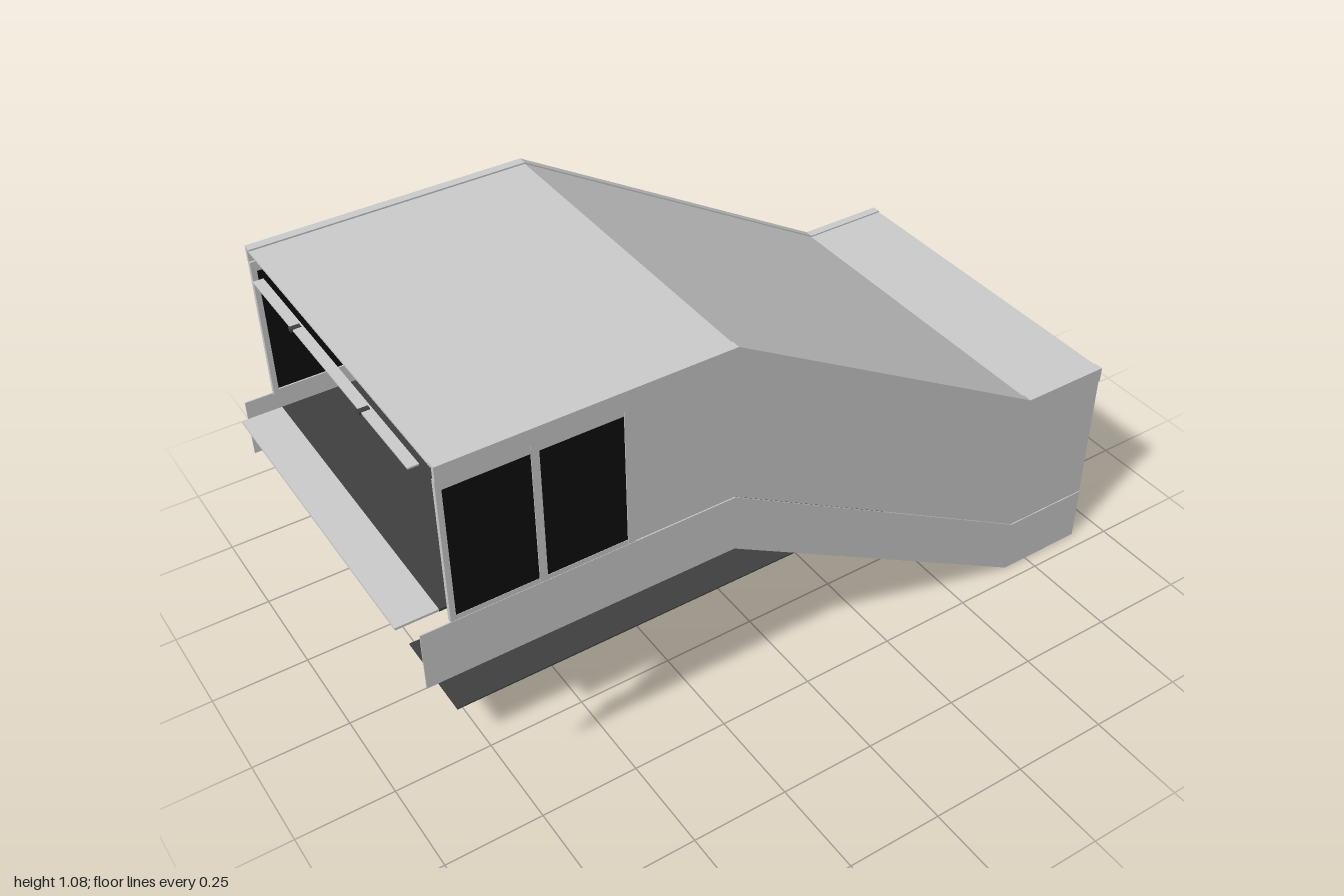
import * as THREE from 'three';

const mat = (name, color, side = THREE.FrontSide) => {
  const m = new THREE.MeshStandardMaterial({ color, side });
  m.name = name;
  return m;
};

export function createModel() {
  const root = new THREE.Group();
  root.name = 'escalatorEntrance';
  const light = mat('lightGrey', 0xcccccc);
  const dark = mat('darkGrey', 0x404040);
  const black = mat('black', 0x0e0e0e);
  const yellow = mat('yellow', 0x8c8420);

  // Shared slope: flat, falling, flat
  const TOP_X = -0.2, LOW_X = 0.68, RISE = 0.515;
  const level = (x, base) =>
    base + RISE * THREE.MathUtils.clamp((LOW_X - x) / (LOW_X - TOP_X), 0, 1);

  const add = (parent, name, geo, material) => {
    const m = new THREE.Mesh(geo, material);
    m.name = name;
    parent.add(m);
    return m;
  };
  const box = (parent, name, material, x0, x1, y0, y1, z0, z1) => {
    const m = add(parent, name, new THREE.BoxGeometry(x1 - x0, y1 - y0, z1 - z0), material);
    m.position.set((x0 + x1) / 2, (y0 + y1) / 2, (z0 + z1) / 2);
    return m;
  };
  // Strip that follows the slope from x0 to x1
  const band = (parent, name, material, x0, x1, base, height, z0, z1) => {
    const xs = [x0, ...[TOP_X, LOW_X].filter((x) => x > x0 && x < x1), x1];
    const pts = xs.map((x) => new THREE.Vector2(x, level(x, base)));
    const upper = xs.map((x) => new THREE.Vector2(x, level(x, base) + height)).reverse();
    const geo = new THREE.ExtrudeGeometry(new THREE.Shape([...pts, ...upper]), {
      depth: z1 - z0, bevelEnabled: false,
    });
    geo.translate(0, 0, z0);
    return add(parent, name, geo, material);
  };
  // z range on either side of the building
  const sided = (s, a, b) => (s > 0 ? [a, b] : [-b, -a]);

  // Roof sheet between the side trims
  band(root, 'roof', light, -0.9, 0.92, 0.556, 0.005, -0.45, 0.45);
  // Inner sloping ceiling
  band(root, 'innerCeiling', light, TOP_X, 0.7, 0.43, 0.005, -0.405, 0.405);

  for (const s of [1, -1]) {
    const side = new THREE.Group();
    side.name = s > 0 ? 'frontSide' : 'backSide';
    root.add(side);
    band(side, 'skirt', light, -0.97, 0.92, 0.002, 0.152, ...sided(s, 0.457, 0.46));
    band(side, 'wallPanel', light, -0.46, 0.92, 0.156, 0.368, ...sided(s, 0.452, 0.459));
    band(side, 'roofTrim', light, -0.9, 0.92, 0.526, 0.039, ...sided(s, 0.453, 0.463));
    band(side, 'roofEdge', light, -0.9, 0.92, 0.56, 0.005, ...sided(s, 0.44, 0.454));
    band(side, 'innerWall', light, -0.2, 0.873, 0.157, 0.273, ...sided(s, 0.404, 0.407));

    // Windows and their frame
    for (const x of [-0.89, -0.675]) {
      box(side, 'window', black, x, x + 0.2, 0.68, 1.018, ...sided(s, 0.452, 0.458));
    }
    for (const [a, b] of [[-0.9, -0.887], [-0.692, -0.673], [-0.477, -0.459]]) {
      box(side, 'windowPost', light, a, b, 0.67, 1.042, ...sided(s, 0.448, 0.46));
    }
    box(side, 'windowSill', light, -0.9, -0.46, 0.668, 0.682, ...sided(s, 0.448, 0.459));
    box(side, 'windowHead', light, -0.9, -0.46, 1.016, 1.042, ...sided(s, 0.448, 0.459));
    box(side, 'canopyBracket', dark, -0.925, -0.9, 1.028, 1.036, ...sided(s, 0.165, 0.177));
  }

  // Upper entrance
  box(root, 'upperFloor', dark, -0.9, -0.28, 0.655, 0.662, -0.405, 0.405);
  box(root, 'threshold', light, -1, -0.9, 0.656, 0.662, -0.405, 0.405);
  box(root, 'entranceCanopy', light, -0.92, -0.895, 1.03, 1.034, -0.385, 0.385);

  // Lower walkway
  box(root, 'walkway', dark, -0.815, 1, 0.148, 0.152, -0.02, 0.23);

  // Sloping ramp, with a wider upper part
  const ramp = (name, x0, y0, x1, y1, z0, z1) => {
    const len = Math.hypot(x1 - x0, y1 - y0);
    const m = add(root, name, new THREE.BoxGeometry(len, 0.004, z1 - z0), dark);
    m.position.set((x0 + x1) / 2, (y0 + y1) / 2, (z0 + z1) / 2);
    m.rotation.z = Math.atan2(y1 - y0, x1 - x0);
  };
  ramp('ramp', 1, 0.057, -0.02, 0.653, -0.205, -0.105);
  ramp('upperRamp', 0.39, 0.415, -0.02, 0.653, -0.405, -0.205);

  // Escalators
  const STEPS = 21;
  for (const zc of [0.32, -0.102]) {
    const esc = new THREE.Group();
    esc.name = 'escalator';
    esc.position.z = zc;
    root.add(esc);

    box(esc, 'lowerLanding', dark, 0.66, 0.91, 0.146, 0.156, -0.05, 0.05);
    box(esc, 'upperLanding', dark, -0.45, -0.18, 0.655, 0.672, -0.05, 0.05);
    band(esc, 'underside', dark, -0.4, 0.9, 0.146, 0.008, -0.079, 0.079);

    const run = (LOW_X - TOP_X) / STEPS, rise = RISE / STEPS;
    for (let i = 0; i < STEPS; i++) {
      const x = LOW_X - i * run, y = 0.157 + (i + 1) * rise;
      box(esc, 'step', dark, x - run, x, y - rise, y, -0.05, 0.05);
      if (i === 4) box(esc, 'stepMark', yellow, x - 0.006, x + 0.001, y - 0.003, y + 0.001, -0.045, 0.045);
    }

    for (const s of [1, -1]) {
      band(esc, 'balustradeBase', light, -0.42, 0.86, 0.157, 0.04, ...sided(s, 0.052, 0.08));
      box(esc, 'baseEnd', dark, 0.86, 0.9, 0.157, 0.178, ...sided(s, 0.052, 0.08));
      band(esc, 'balustrade', black, -0.42, 0.875, 0.195, 0.06, ...sided(s, 0.061, 0.071));
      band(esc, 'handrail', black, -0.42, 0.875, 0.251, 0.012, ...sided(s, 0.058, 0.074));
      // Rounded newel at each end
      for (const [x, y] of [[0.875, 0.224], [-0.42, 0.224 + RISE]]) {
        const newel = add(esc, 'newel', new THREE.CylinderGeometry(0.039, 0.039, 0.016, 20), black);
        newel.rotation.x = Math.PI / 2;
        newel.position.set(x, y, s * 0.066);
      }
    }
  }
  return root;
}
